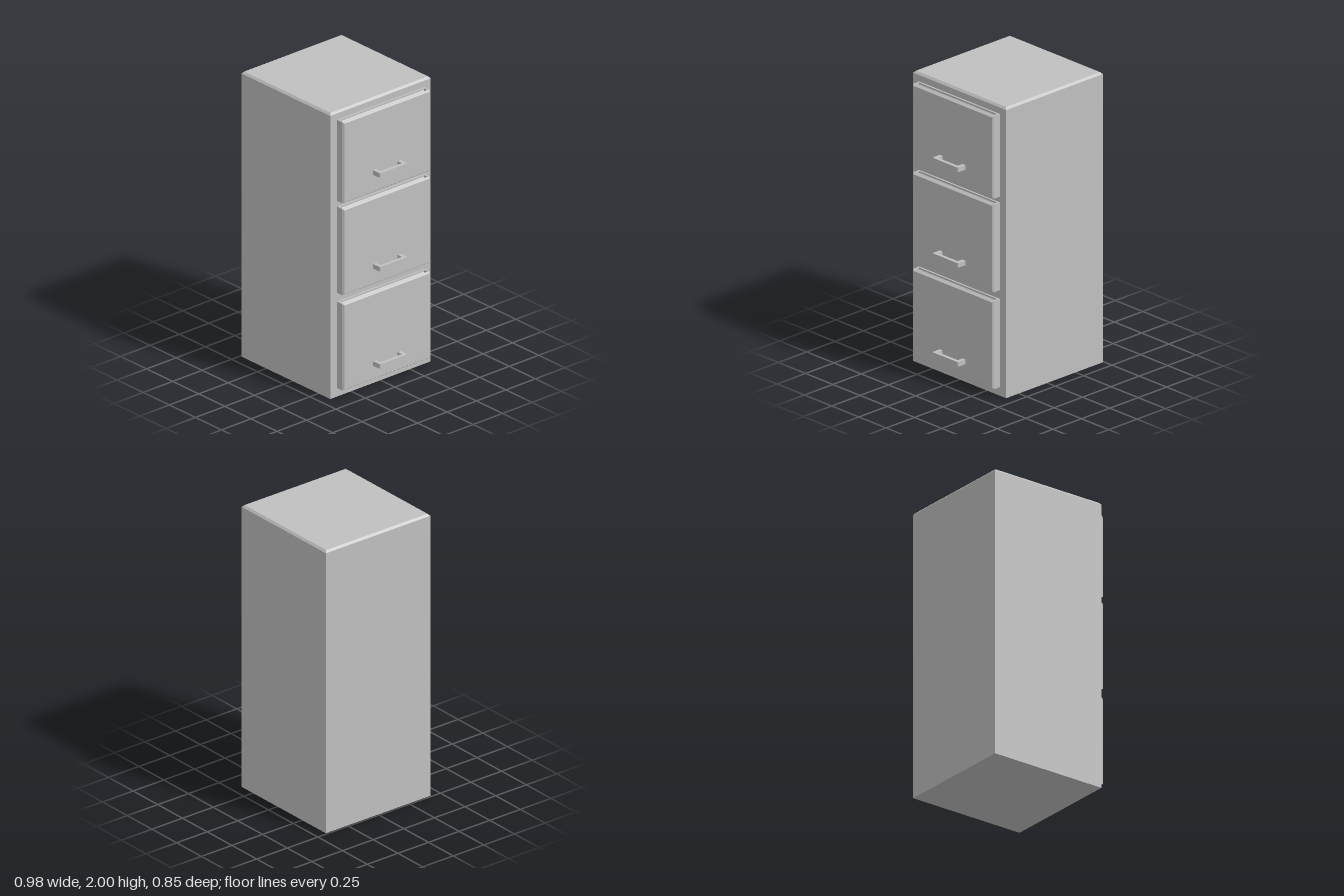
import * as THREE from 'three';

const grey = new THREE.MeshStandardMaterial({ color: 0xc0c0c0 });
grey.name = 'cabinet grey';

function add(parent, name, geometry) {
  const mesh = new THREE.Mesh(geometry, grey);
  mesh.name = name;
  parent.add(mesh);
  return mesh;
}

// Box given by its limits on each axis
function box(x0, x1, y0, y1, z0, z1) {
  return new THREE.BoxGeometry(x1 - x0, y1 - y0, z1 - z0)
    .translate((x0 + x1) / 2, (y0 + y1) / 2, (z0 + z1) / 2);
}

// Upright box (base at y = 0) whose top rim is chamfered
function chamferedBox(w, h, d, inset, drop) {
  const g = new THREE.BoxGeometry(w, h, d, 1, 2, 1).translate(0, h / 2, 0).toNonIndexed();
  const p = g.attributes.position;
  for (let i = 0; i < p.count; i++) {
    const y = p.getY(i);
    if (y > h * 0.75) {
      p.setX(i, p.getX(i) - Math.sign(p.getX(i)) * inset);
      p.setZ(i, p.getZ(i) - Math.sign(p.getZ(i)) * inset);
    } else if (y > h * 0.25) {
      p.setY(i, h - drop);
    }
  }
  g.computeVertexNormals();
  return g;
}

// U-shaped pull: cross bar on two legs
function createHandle(y) {
  const handle = new THREE.Group();
  handle.name = 'handle';
  const s = new THREE.Shape([
    [0.424, -0.117], [0.484, -0.117], [0.49, -0.111], [0.49, 0.111], [0.484, 0.117], [0.424, 0.117],
    [0.424, 0.091], [0.466, 0.091], [0.466, -0.091], [0.424, -0.091],
  ].map(([x, z]) => new THREE.Vector2(x, z)));
  const g = new THREE.ExtrudeGeometry(s, { depth: 0.032, bevelEnabled: false });
  g.rotateX(-Math.PI / 2).translate(0, y - 0.016, 0);
  add(handle, 'handlePull', g);
  return handle;
}

function createDrawer(y0, y1, handleY) {
  const drawer = new THREE.Group();
  drawer.name = 'drawer';
  const back = 0.36, slotBack = 0.375, slotFront = 0.41, half = 0.37, slotHalf = 0.358;

  // Rear strip and end walls around the top slot
  add(drawer, 'drawerBack', box(back, slotBack, y0, y1, -half, half));
  for (const side of [-1, 1]) {
    const [a, b] = [side * slotHalf, side * half].sort((m, n) => m - n);
    add(drawer, 'drawerEnd', box(slotBack, slotFront, y0, y1, a, b));
  }

  // Core with a sloping slot floor
  const core = new THREE.Shape([
    [slotBack, y0], [slotFront, y0], [slotFront, y1 - 0.045], [slotBack, y1 - 0.012],
  ].map(([x, y]) => new THREE.Vector2(x, y)));
  add(drawer, 'drawerCore',
    new THREE.ExtrudeGeometry(core, { depth: slotHalf * 2, bevelEnabled: false })
      .translate(0, 0, -slotHalf));

  // Chamfered front plate, turned to face +x
  const plate = chamferedBox(y1 - y0, 0.425 - slotFront, half * 2, 0.009, 0.012);
  plate.rotateZ(-Math.PI / 2).translate(slotFront, (y0 + y1) / 2, 0);
  add(drawer, 'drawerFront', plate);

  drawer.add(createHandle(handleY));
  return drawer;
}

export function createModel() {
  const cabinet = new THREE.Group();
  cabinet.name = 'filingCabinet';

  add(cabinet, 'cabinetBody', chamferedBox(0.853, 2, 0.853, 0.013, 0.014)).position.x = -0.0635;

  for (const [y0, y1, handleY] of [
    [0.06, 0.667, 0.175],
    [0.728, 1.333, 0.857],
    [1.373, 1.942, 1.515],
  ]) cabinet.add(createDrawer(y0, y1, handleY));

  return cabinet;
}
